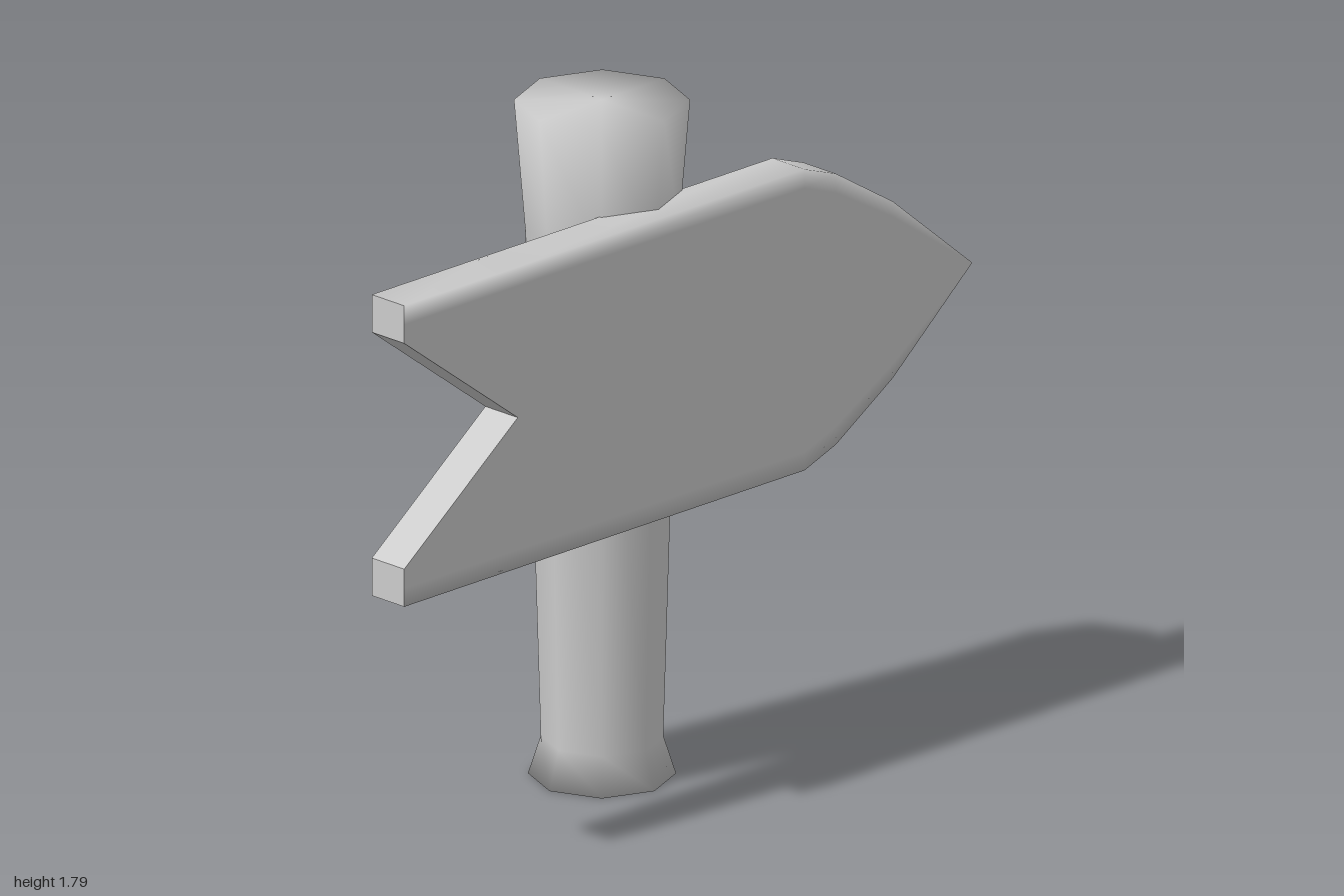
import * as THREE from 'three';
import { mergeVertices } from 'three/addons/utils/BufferGeometryUtils.js';

const material = new THREE.MeshStandardMaterial({ color: 0xcccccc, side: THREE.DoubleSide });

// Eight-sided post with a flared foot and head
function createPost() {
  const profile = [[0, 0], [0.185, 0], [0.153, 0.1], [0.192, 1.45], [0.22, 1.79], [0, 1.79]]
    .map(([r, y]) => new THREE.Vector2(r, y));
  const post = new THREE.Mesh(new THREE.LatheGeometry(profile, 8), material);
  post.name = 'post';
  post.position.set(-0.015, 0, 0.055);
  return post;
}

// Arrow board lofted along z; the lower half mirrors the upper about the middle
function createBoard() {
  const middle = 1.15, inner = 0.12, outer = 0.235;
  // z, lower edge, upper edge (heights above the middle), width of the soft rim
  const stations = [
    [1, 0.3, 0.4, 0.05], [0.6, 0, 0.4, 0.05], [-0.41, 0, 0.4, 0.05],
    [-0.52, 0, 0.36, 0.05], [-0.72, 0, 0.235, 0.04], [-1, 0, 0, 0],
  ];
  const soft = [], sharp = [];

  for (const s of [1, -1]) {
    const rings = stations.map(([z, lo, hi, rim]) => [
      [inner, lo], [inner, hi - rim], [inner, hi],
      [outer, hi], [outer, hi - rim], [outer, lo],
    ].map(([x, y]) => [x, middle + s * y, z]));

    const triangle = (list, a, b, c) => {
      const same = (p, q) => p.every((v, i) => Math.abs(v - q[i]) < 1e-6);
      if (same(a, b) || same(b, c) || same(a, c)) return;
      list.push(...(s > 0 ? [a, b, c] : [a, c, b]).flat());
    };
    const quad = (list, a, b, c, d) => {
      triangle(list, a, b, c);
      triangle(list, a, c, d);
    };

    // Faces and long edges
    for (let i = 0; i < rings.length - 1; i++) {
      const r = rings[i], n = rings[i + 1];
      for (let k = 0; k < 5; k++) quad(soft, r[k + 1], n[k + 1], n[k], r[k]);
    }
    // Notch side and tail end
    const [r, n] = rings;
    quad(sharp, r[0], n[0], n[5], r[5]);
    quad(sharp, r[0], r[5], r[3], r[2]);
  }

  const toMesh = (positions, name, smooth) => {
    let geometry = new THREE.BufferGeometry();
    geometry.setAttribute('position', new THREE.Float32BufferAttribute(positions, 3));
    if (smooth) geometry = mergeVertices(geometry);
    geometry.computeVertexNormals();
    const mesh = new THREE.Mesh(geometry, material);
    mesh.name = name;
    return mesh;
  };

  const board = new THREE.Group();
  board.name = 'arrowBoard';
  board.add(toMesh(soft, 'boardBody', true), toMesh(sharp, 'boardTailEnds', false));
  return board;
}

export function createModel() {
  const model = new THREE.Group();
  model.name = 'signpost';
  model.add(createPost(), createBoard());
  return model;
}
